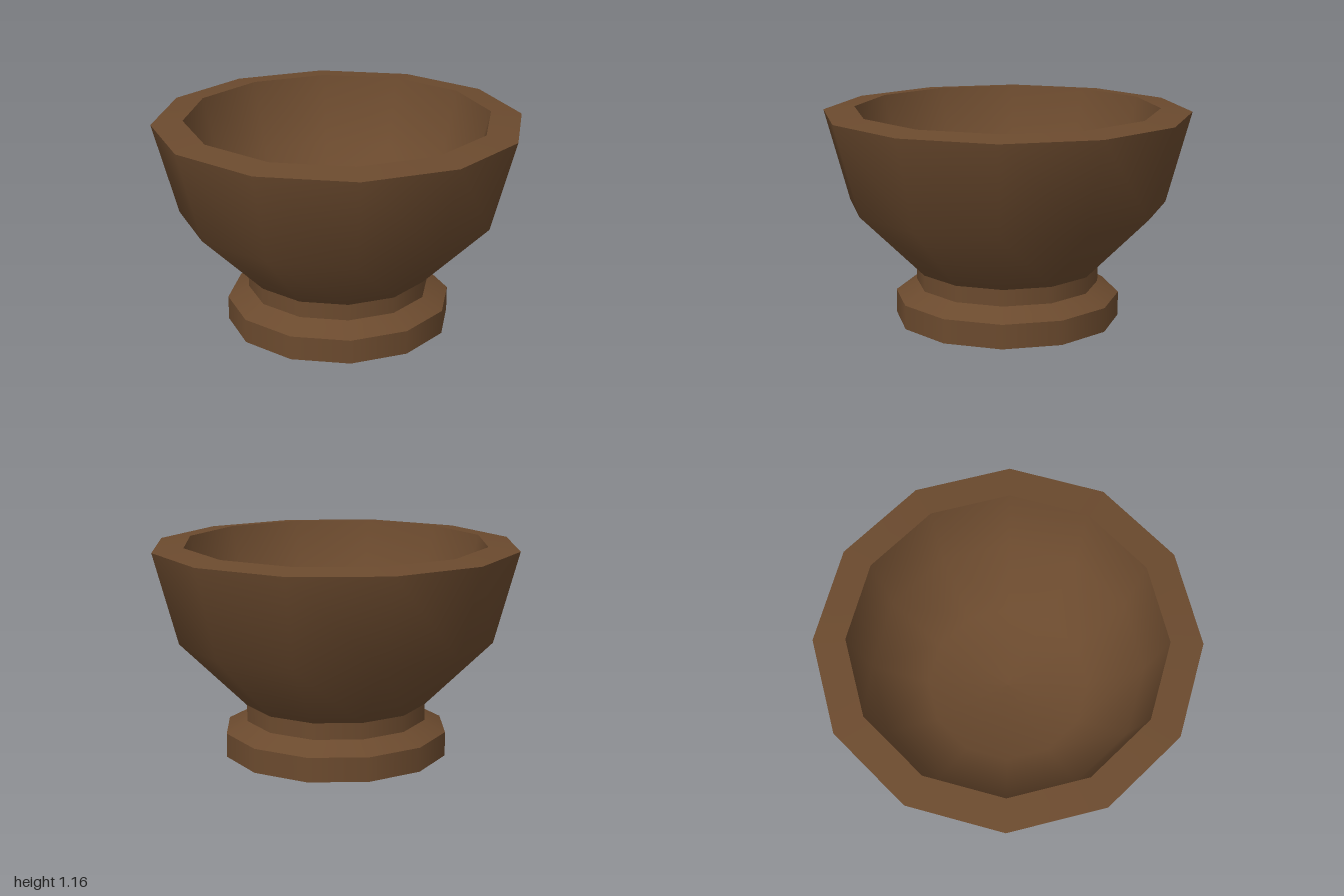
import * as THREE from 'three';

const SIDES = 12;

export function createModel() {
  const wood = new THREE.MeshStandardMaterial({ color: 0x6b4a2e });
  wood.name = 'brown wood';
  const group = new THREE.Group();
  group.name = 'footedBowl';

  // Each band is its own lathe: smooth within a band, sharp between bands.
  const band = (name, points) => {
    const profile = points.map(([r, y]) => new THREE.Vector2(r, y));
    const mesh = new THREE.Mesh(new THREE.LatheGeometry(profile, SIDES), wood);
    mesh.name = name;
    group.add(mesh);
  };

  // Foot
  band('footUnderside', [[0, 0], [0.618, 0]]);
  band('footSide', [[0.618, 0], [0.618, 0.133]]);
  band('footShoulder', [[0.618, 0.133], [0.502, 0.195]]);
  band('neck', [[0.502, 0.195], [0.502, 0.285]]);

  // Bowl: outer wall, rim rising slightly inward, rounded hollow with a shallow floor
  band('bowlOuter', [[0.502, 0.285], [0.867, 0.65], [1, 1.147]]);
  band('rim', [[1, 1.147], [0.83, 1.165]]);
  band('bowlInner', [[0.83, 1.165], [0.73, 0.78], [0.44, 0.53], [0, 0.5]]);

  return group;
}
